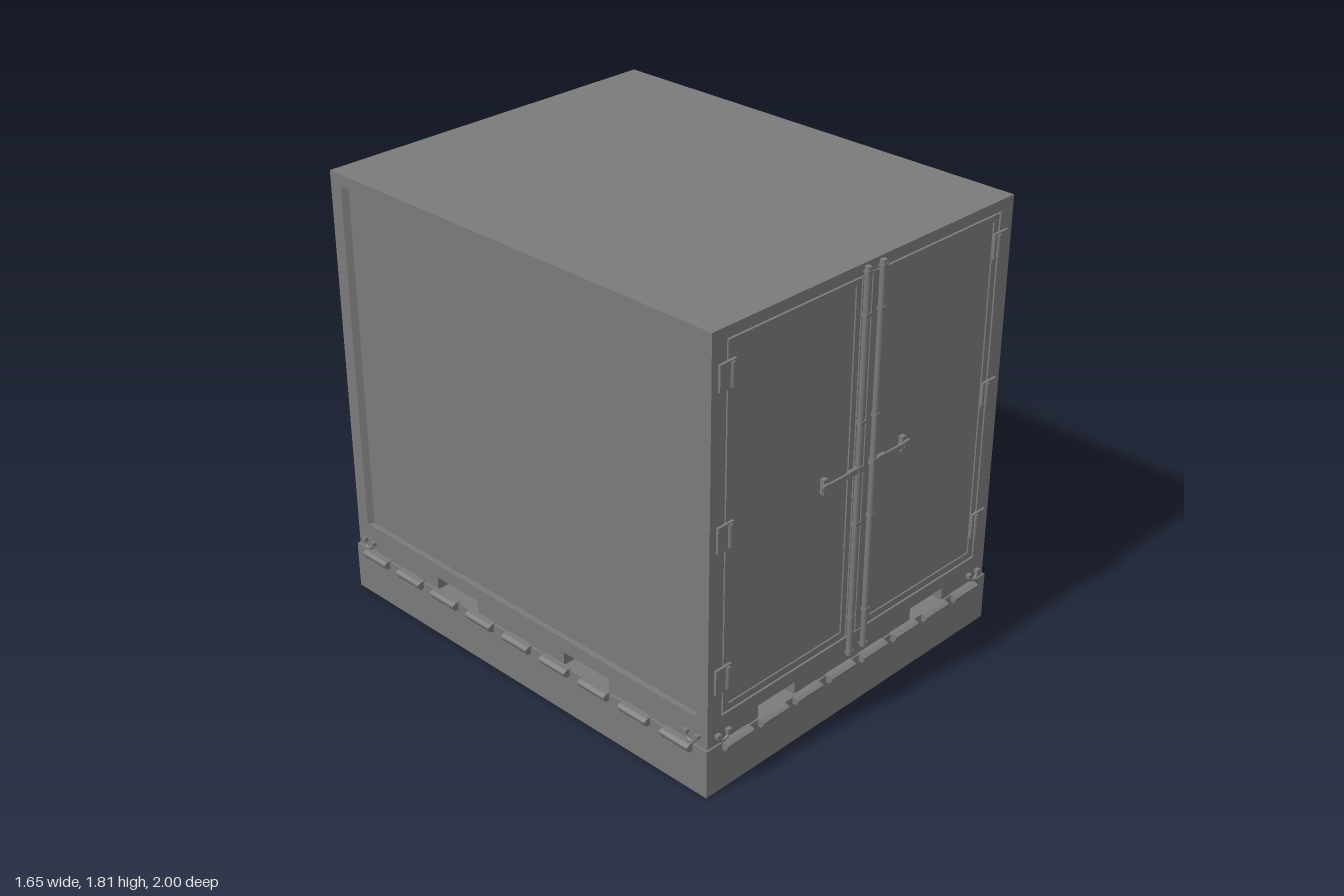
import * as THREE from 'three';

const grey = new THREE.MeshStandardMaterial({ color: 0x7a7a7a });
const W = 0.785, D = 0.965, TOP = 1.81, SILL = 0.255, BASE = 0.2, REC = 0.022, GROOVE = 0.015;

function add(parent, name, geometry, x = 0, y = 0, z = 0) {
  const mesh = new THREE.Mesh(geometry, grey);
  mesh.name = name;
  mesh.position.set(x, y, z);
  parent.add(mesh);
  return mesh;
}

// box given by its lower and upper corners
function box(parent, name, x0, x1, y0, y1, z0, z1) {
  return add(parent, name, new THREE.BoxGeometry(x1 - x0, y1 - y0, z1 - z0),
    (x0 + x1) / 2, (y0 + y1) / 2, (z0 + z1) / 2);
}

const poly = (pts) => pts.map(([x, y]) => new THREE.Vector2(x, y));
const rect = (x0, x1, y0, y1) => poly([[x0, y0], [x1, y0], [x1, y1], [x0, y1]]);
const extrude = (shape, depth) => new THREE.ExtrudeGeometry(shape, { depth, bevelEnabled: false });

// flat frame with a rectangular opening, its front face at z
function frame(parent, name, outer, inner, depth, z) {
  const shape = new THREE.Shape(rect(...outer));
  shape.holes.push(new THREE.Path(rect(...inner)));
  return add(parent, name, extrude(shape, depth), 0, 0, z - depth);
}

// group whose local +z points outwards from one side of the container
function side(parent, name, angle) {
  const g = new THREE.Group();
  g.name = name;
  g.rotation.y = angle;
  parent.add(g);
  return g;
}

// recessed wall: frame plus slanted strips along the upright edges
function wall(g, half, opening, dist) {
  frame(g, 'wallFrame', [-half, half, SILL, TOP], [-opening, opening, 0.315, 1.762], REC, dist);
  for (const s of [-1, 1]) {
    const strip = new THREE.Shape(poly([[s * opening, 0], [s * (opening - 0.017), 0], [s * opening, REC]]));
    add(g, 'slantedEdge', extrude(strip, 1.447), 0, 1.762, dist - REC).rotation.x = Math.PI / 2;
  }
}

// bent tabs along the rim of the base
function rimTabs(g, count, pitch, dist) {
  const profile = new THREE.Shape(poly([[-0.01, 0.204], [0.014, 0.204], [0.028, 0.197],
    [0.028, 0.19], [0.016, 0.172], [-0.01, 0.172]]));
  const geo = extrude(profile, 0.138);
  geo.rotateY(-Math.PI / 2);
  geo.translate(0.069, 0, 0);
  for (let i = 0; i < count; i++) add(g, 'rimTab', geo, (i - (count - 1) / 2) * pitch, 0, dist);
}

// U-shaped lashing ring hanging from two lugs
function lashingRing(g, x, dist) {
  const ring = new THREE.Group();
  ring.name = 'lashingRing';
  ring.position.set(x, 0.236, dist);
  const u = add(ring, 'ringBow', new THREE.TorusGeometry(0.024, 0.006, 8, 14, Math.PI), 0, 0, 0.01);
  u.rotation.z = Math.PI;
  for (const s of [-1, 1]) {
    box(ring, 'ringLug', s * 0.027 - 0.01, s * 0.027 + 0.01, -0.003, 0.012, -0.002, 0.017);
  }
  g.add(ring);
}

// one door leaf with hinges, locking bar and handle; s = 1 is the left leaf
function door(g, s) {
  const d = new THREE.Group();
  d.name = s > 0 ? 'leftDoor' : 'rightDoor';
  g.add(d);
  const span = (a, b) => (s > 0 ? [a, b] : [-b, -a]);
  frame(d, 'doorFrame', [...span(0.056, 0.707), 0.318, 1.759], [...span(0.08, 0.68), 0.345, 1.735], GROOVE, D - 0.001);
  box(d, 'doorPanel', ...span(0.08, 0.68), 0.345, 1.735, D - GROOVE, D - 0.007);
  box(d, 'doorPost', ...span(0.003, 0.05), 0.315, 1.763, D - GROOVE, D);

  for (const y of [0.47, 1.04, 1.64]) {
    box(d, 'hingePlate', ...span(0.677, 0.755), y - 0.05, y + 0.05, D - 0.005, D + 0.01);
    add(d, 'hingePin', new THREE.CylinderGeometry(0.009, 0.009, 0.09, 12), s * 0.698, y, D + 0.01);
  }

  const bx = s * 0.04, bz = D + 0.01;
  add(d, 'lockingBar', new THREE.CylinderGeometry(0.012, 0.012, 1.565, 14), bx, 1.0175, bz);
  for (const y of [0.25, 0.4, 0.8, 1.21, 1.62, 1.78]) {
    box(d, 'barClip', bx - 0.013, bx + 0.013, y - 0.006, y + 0.006, D - 0.005, D + 0.023);
  }

  box(d, 'handleHub', bx - 0.013, bx + 0.013, 1.01, 1.035, D, D + 0.024);
  box(d, 'handleClamp', ...span(0.05, 0.1), 1.012, 1.034, D + 0.005, D + 0.021);
  box(d, 'handleLever', ...span(0.05, 0.243), 1.013, 1.031, D + 0.01, D + 0.019);
  box(d, 'handleRest', ...span(0.203, 0.225), 0.992, 1.052, D - 0.01, D + 0.012);
  box(d, 'handleLatch', ...span(0.206, 0.236), 1.01, 1.036, D + 0.008, D + 0.022);
}

export function createModel() {
  const model = new THREE.Group();
  model.name = 'cargoContainer';

  // base slab
  box(model, 'baseSlab', -0.795, 0.795, 0, BASE, -0.972, 0.972);

  // lower rail: cross tunnels between the blocks, fork pockets in the end blocks
  box(model, 'railMiddle', -W, W, BASE, SILL, -0.24, 0.24);
  const endPlan = new THREE.Shape(poly([[-W, 0.478], [W, 0.478], [W, D], [0.525, D], [0.525, 0.66],
    [0.33, 0.66], [0.33, D], [-0.33, D], [-0.33, 0.66], [-0.525, 0.66], [-0.525, D], [-W, D]]));
  const endGeo = extrude(endPlan, SILL - BASE);
  endGeo.rotateX(Math.PI / 2);
  for (const a of [0, Math.PI]) add(model, 'railEnd', endGeo, 0, SILL, 0).rotation.y = a;

  // inner body
  box(model, 'body', -W + REC, W - REC, SILL, TOP, -D + REC, D - GROOVE);

  // front with two doors
  const front = side(model, 'front', 0);
  frame(front, 'doorSurround', [-W + REC, W - REC, SILL, TOP], [-0.715, 0.715, 0.31, 1.767], GROOVE, D);
  door(front, 1);
  door(front, -1);

  // plain back and side walls
  const back = side(model, 'back', Math.PI);
  wall(back, W - REC, 0.735, D);
  const left = side(model, 'leftSide', Math.PI / 2);
  const right = side(model, 'rightSide', -Math.PI / 2);
  for (const g of [left, right]) wall(g, D, 0.907, W);

  // rim tabs and lashing rings on every side
  for (const g of [front, back]) {
    rimTabs(g, 8, 0.185, 0.972);
    for (const s of [-1, 1]) lashingRing(g, s * 0.713, D);
  }
  for (const g of [left, right]) {
    rimTabs(g, 9, 0.2085, 0.795);
    for (const s of [-1, 1]) lashingRing(g, s * 0.895, W);
  }
  return model;
}
